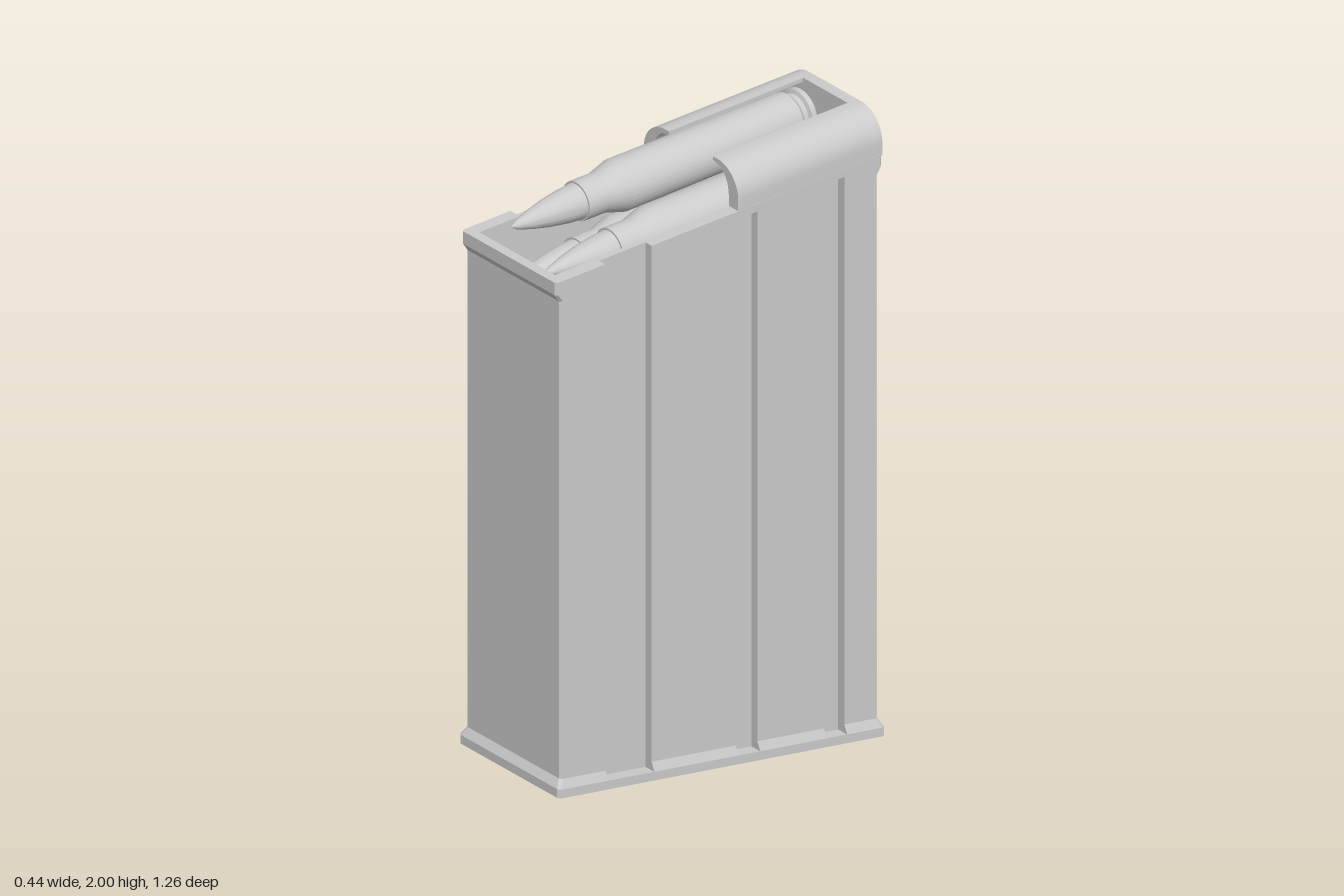
import * as THREE from 'three';
import { toCreasedNormals } from 'three/addons/utils/BufferGeometryUtils.js';

const W = 0.208, FRONT = 0.615, BACK = -0.555, RIB = -0.615;
const WIDE = [0.28, 0.45];
const NARROW = [[-0.11, -0.03], [-0.43, -0.355]];

// Height of the sloping base at depth z
const base = (z) => 0.178 * (z + 0.635);

// Plan outline of the case: side grooves cut in, guide rib at the back
function outline(grooves, hollow) {
  const c = 0.008, half = [[W - c, FRONT], [W, FRONT - c]];
  for (const [z0, z1] of grooves) half.push([W, z1], [0.181, z1], [0.181, z0], [W, z0]);
  half.push([W, BACK + c], [W - c, BACK], [0.08, BACK], [0.08, RIB]);
  const all = [...half, ...half.slice().reverse().map(([x, z]) => [-x, z])];
  const shape = new THREE.Shape(all.map(([x, z]) => new THREE.Vector2(x, -z)));
  if (hollow) {
    const hole = [[-0.166, 0.6], [0.166, 0.6], [0.166, -0.535], [-0.166, -0.535]];
    shape.holes.push(new THREE.Path(hole.map(([x, z]) => new THREE.Vector2(x, -z))));
  }
  return shape;
}

// Upright slab between two height rules; each end may flare outwards by [dx, dz]
function slab(shape, low, high, flareLow = [0, 0], flareHigh = [0, 0]) {
  const g = new THREE.ExtrudeGeometry(shape, { depth: 1, bevelEnabled: false });
  g.rotateX(-Math.PI / 2);
  const p = g.attributes.position;
  for (let i = 0; i < p.count; i++) {
    let x = p.getX(i), z = p.getZ(i);
    const top = p.getY(i) > 0.5;
    const [dx, dz] = top ? flareHigh : flareLow;
    if (Math.abs(x) > 0.195) x += Math.sign(x) * dx;
    if (z > 0.601) z += dz;
    else if (z < -0.54) z -= dz;
    p.setXYZ(i, x, (top ? high : low)(z), z);
  }
  g.computeVertexNormals();
  return g;
}

// Half-profile points of the rounded top shoulder
function shoulder() {
  const pts = [];
  for (let i = 0; i <= 10; i++) {
    const a = (i / 10) * Math.PI / 2;
    pts.push(new THREE.Vector2(0.115 + 0.092 * Math.cos(a), 1.905 + 0.095 * Math.sin(a)));
  }
  return pts;
}

function alongZ(shape, z0, z1) {
  const g = new THREE.ExtrudeGeometry(shape, { depth: z1 - z0, bevelEnabled: false, curveSegments: 10 });
  g.translate(0, 0, z0);
  return toCreasedNormals(g, 0.5);
}

export function createModel() {
  const model = new THREE.Group();
  const grey = new THREE.MeshStandardMaterial({ color: 0xcccccc, side: THREE.DoubleSide });
  const add = (name, geometry) => {
    const mesh = new THREE.Mesh(geometry, grey);
    mesh.name = name;
    model.add(mesh);
    return mesh;
  };
  const at = (y) => () => y;
  const above = (d) => (z) => base(z) + d;
  const allGrooves = [WIDE, ...NARROW];
  const rim = [0, 0.016], foot = [0.012, 0.016];

  // Case walls with the flared rim
  add('caseWalls', slab(outline(allGrooves, true), above(0.055), at(1.805)));
  add('rimFlare', slab(outline(allGrooves, true), at(1.805), at(1.83), [0, 0], rim));
  add('rimLower', slab(outline(allGrooves, true), at(1.83), at(1.845), rim, rim));
  add('rim', slab(outline([WIDE], true), at(1.845), at(1.87), rim, rim));

  // Sloping base plate
  add('basePlateChamfer', slab(outline(allGrooves, false), above(0.028), above(0.055), foot));
  add('basePlate', slab(outline([], false), above(0), above(0.028), foot, foot));

  // Closed back of the feed end
  const curve = shoulder();
  const mirrored = curve.slice().reverse().map((p) => new THREE.Vector2(-p.x, p.y));
  const wall = new THREE.Shape([
    new THREE.Vector2(0.207, 1.865), ...curve, ...mirrored, new THREE.Vector2(-0.207, 1.865),
  ]);
  add('backWall', alongZ(wall, BACK - 0.016, -0.535));

  // Curved feed lips, thinning towards the opening
  for (const s of [1, -1]) {
    const lip = new THREE.Shape();
    lip.moveTo(s * 0.207, 1.865);
    for (const p of curve) lip.lineTo(s * p.x, p.y);
    lip.lineTo(s * 0.097, 2.0);
    lip.lineTo(s * 0.097, 1.988);
    lip.quadraticCurveTo(s * 0.162, 1.985, s * 0.166, 1.9);
    lip.lineTo(s * 0.166, 1.865);
    lip.closePath();
    add(s > 0 ? 'leftFeedLip' : 'rightFeedLip', alongZ(lip, -0.535, -0.04));
  }

  // Cartridges, staggered
  const profile = [
    [0, -0.51], [0.071, -0.51], [0.075, -0.505], [0.075, -0.49], [0.063, -0.485], [0.063, -0.47],
    [0.076, -0.455], [0.079, 0.17], [0.06, 0.24], [0.06, 0.32], [0.054, 0.32],
    [0.05, 0.37], [0.041, 0.43], [0.028, 0.49], [0.013, 0.54], [0, 0.56],
  ].map(([r, z]) => new THREE.Vector2(r, z));
  const round = new THREE.LatheGeometry(profile, 32);
  round.rotateX(Math.PI / 2);
  const roundGeometry = toCreasedNormals(round, 0.3);
  [['topCartridge', -0.075, 1.91], ['secondCartridge', 0.07, 1.82], ['thirdCartridge', -0.075, 1.73]]
    .forEach(([name, x, y]) => add(name, roundGeometry).position.set(x, y, 0));

  // Follower platform under the cartridges
  const follower = new THREE.BoxGeometry(0.32, 0.03, 1.06);
  add('follower', follower).position.set(0, 1.635, 0);

  return model;
}
